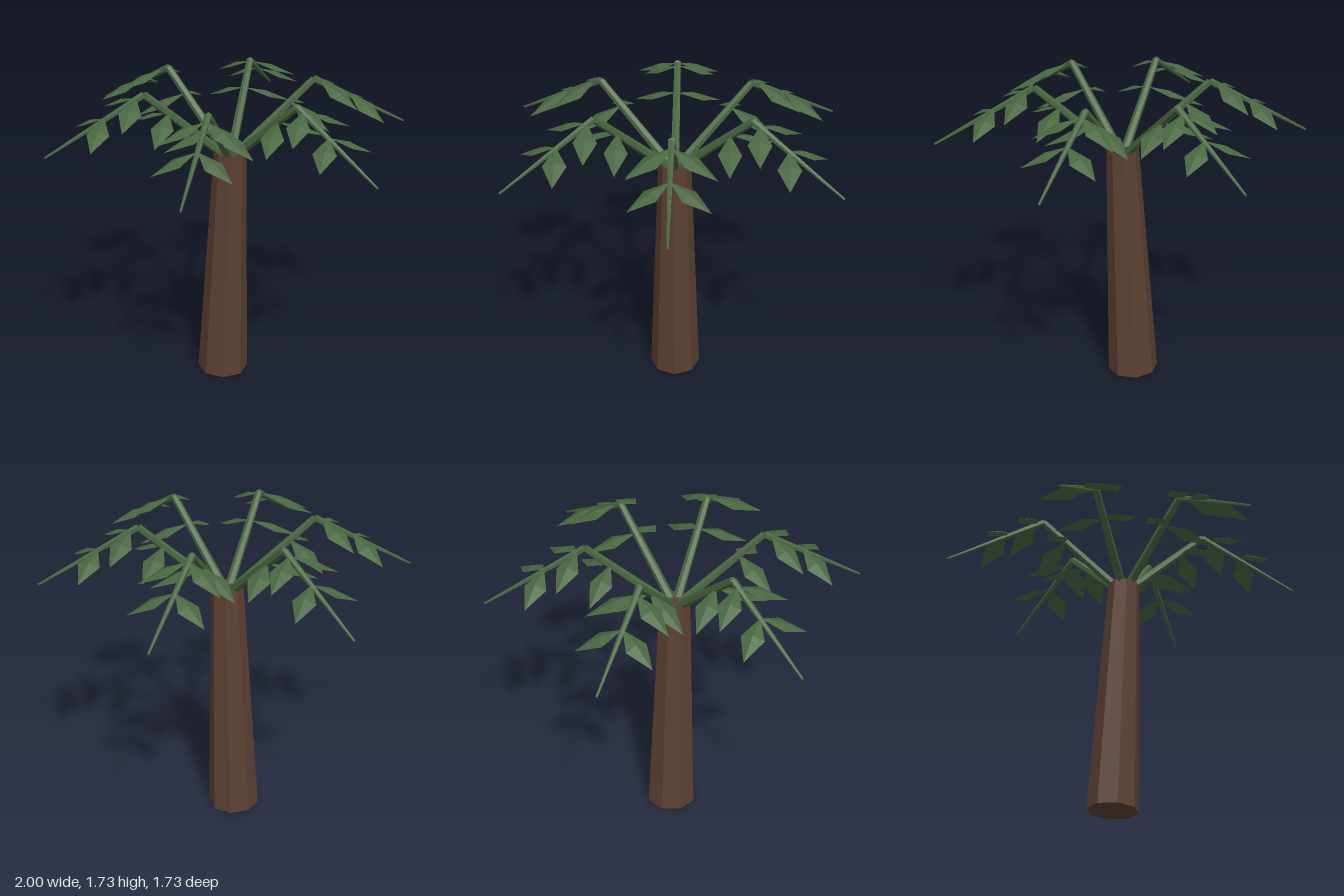
import * as THREE from 'three';

const bark = new THREE.MeshStandardMaterial({ color: 0x5c4033, flatShading: true });
bark.name = 'bark brown';
const green = new THREE.MeshStandardMaterial({ color: 0x4a6741, flatShading: true, side: THREE.DoubleSide });
green.name = 'leaf green';

// Tapered rod between two points, ridge edge facing up
function rod(name, a, b, ra, rb, sides, material) {
  const dir = b.clone().sub(a);
  const geo = new THREE.CylinderGeometry(rb, ra, dir.length(), sides, 1, false, -Math.PI / 2);
  const mesh = new THREE.Mesh(geo, material);
  mesh.name = name;
  mesh.position.copy(a).add(b).multiplyScalar(0.5);
  mesh.rotation.z = Math.atan2(dir.y, dir.x) - Math.PI / 2;
  return mesh;
}

// Diamond leaf along +x, folded on its midrib and drooping to the tip
function leafGeometry(length) {
  const m = length * 0.46, w = 0.062;
  const geo = new THREE.BufferGeometry();
  geo.setAttribute('position', new THREE.Float32BufferAttribute([
    0, 0, 0,  m, -0.05, w,  length, -0.105, 0,  m, -0.05, -w,  m, -0.03, 0,
  ], 3));
  geo.setIndex([0, 1, 4, 1, 2, 4, 2, 3, 4, 3, 0, 4]);
  geo.computeVertexNormals();
  return geo;
}

export function createModel() {
  const model = new THREE.Group();
  model.name = 'palmTree';

  // Leaning octagonal trunk
  model.add(rod('trunk', new THREE.Vector3(-0.06, 0.007, 0), new THREE.Vector3(0, 1.35, 0), 0.14, 0.088, 8, bark));

  // Six bent fronds, each with three pairs of leaves
  const base = new THREE.Vector3(0, 1.3, 0);
  const elbow = new THREE.Vector3(0.465, 1.71, 0);
  const tip = new THREE.Vector3(0.997, 1.418, 0);
  const leaves = [[0.335, 1.597, 0.272], [0.505, 1.695, 0.257], [0.677, 1.6, 0.238]];
  for (let i = 0; i < 6; i++) {
    const frond = new THREE.Group();
    frond.name = `frond${i + 1}`;
    frond.rotation.y = i * Math.PI / 3;
    frond.add(rod('innerStem', base, elbow, 0.026, 0.02, 6, green));
    frond.add(rod('outerStem', elbow, tip, 0.02, 0.006, 6, green));
    for (const [x, y, length] of leaves) {
      for (const side of [-1, 1]) {
        const leaf = new THREE.Mesh(leafGeometry(length), green);
        leaf.name = side > 0 ? 'leafLeft' : 'leafRight';
        leaf.position.set(x, y, 0);
        leaf.rotation.y = side * Math.PI / 3;
        frond.add(leaf);
      }
    }
    model.add(frond);
  }
  return model;
}
